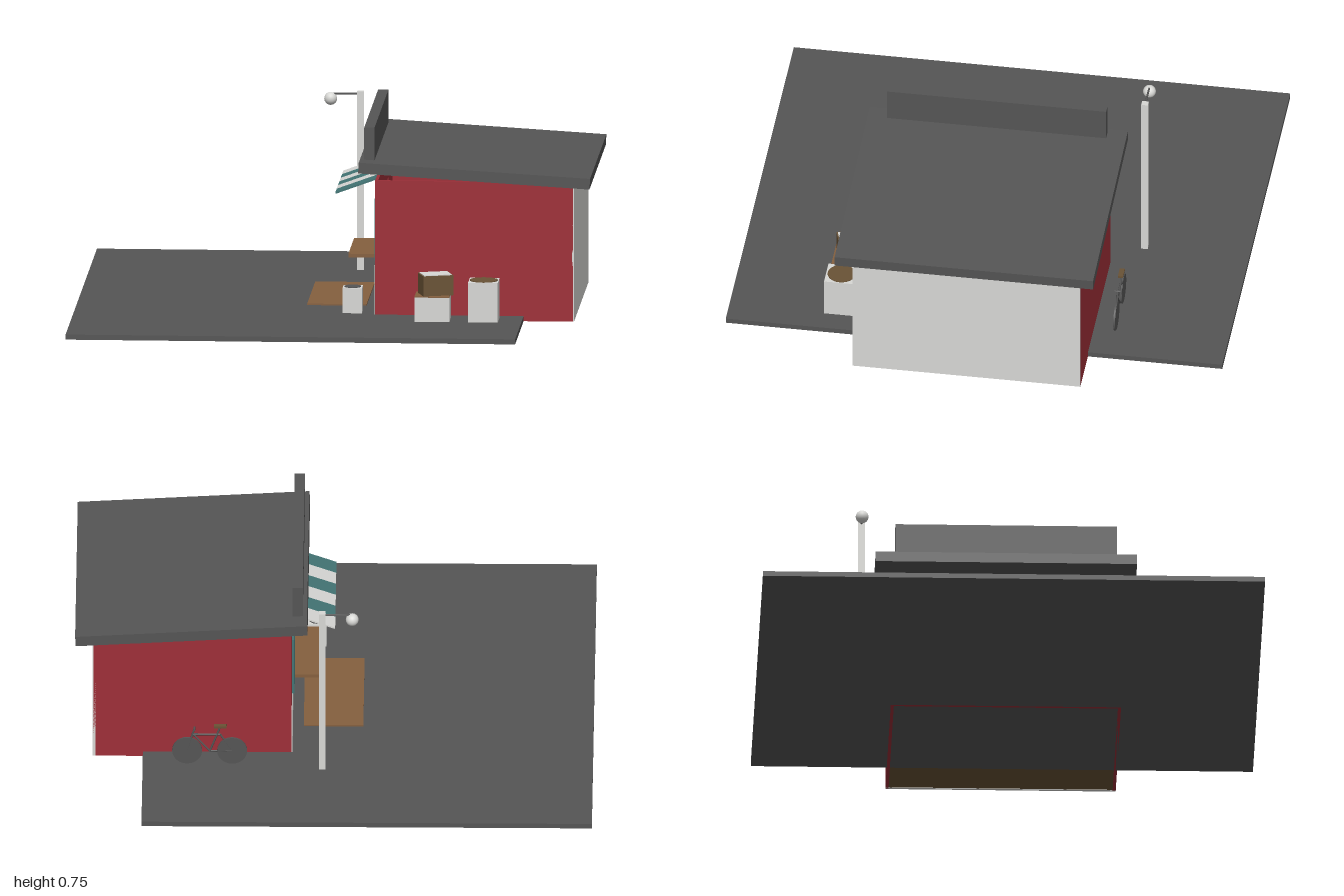
import * as THREE from 'three';

const mat = (name, color, side = THREE.FrontSide) => {
  const m = new THREE.MeshStandardMaterial({ color, side });
  m.name = name;
  return m;
};

export function createModel() {
  const white = mat('offWhite', 0xd8d8d5);
  const red = mat('barnRed', 0x9e2f38);
  const dark = mat('charcoal', 0x555555);
  const teal = mat('teal', 0x437575);
  const wood = mat('wood', 0x85603f);
  const darkWood = mat('darkWood', 0x6a5336);
  const model = new THREE.Group();
  model.name = 'marketKiosk';

  const add = (name, geometry, material, parent = model) => {
    const m = new THREE.Mesh(geometry, material);
    m.name = name;
    parent.add(m);
    return m;
  };
  // Box given by its min and max on each axis
  const box = (name, material, x0, x1, y0, y1, z0, z1, parent) => {
    const m = add(name, new THREE.BoxGeometry(x1 - x0, y1 - y0, z1 - z0), material, parent);
    m.position.set((x0 + x1) / 2, (y0 + y1) / 2, (z0 + z1) / 2);
    return m;
  };
  // Straight round bar between two points
  const bar = (name, material, a, b, r, parent) => {
    const p = new THREE.Vector3(...a), q = new THREE.Vector3(...b);
    const m = add(name, new THREE.CylinderGeometry(r, r, p.distanceTo(q), 8), material, parent);
    m.position.copy(p).lerp(q, 0.5);
    m.quaternion.setFromUnitVectors(new THREE.Vector3(0, 1, 0), q.sub(p).normalize());
    return m;
  };

  // Ground and door mat
  box('ground', dark, -1, 0.74, 0, 0.02, -0.97, 0.97);
  box('mat', wood, -0.11, 0.12, 0.02, 0.026, -0.25, 0.25);

  // Walls and floor
  const X0 = 0.165, X1 = 0.935, Z = 0.445, H = 0.545, T = 0.012;
  box('floor', darkWood, X0 + T, X1 - T, 0.002, 0.026, -Z + T, Z - T);
  for (const s of [-1, 1]) {
    const z = s * (Z - T / 2);
    box('sideWall', red, X0, X1 - 0.004, 0, H, z - T / 2, z + T / 2);
  }
  box('backWall', white, X1 - T, X1, 0, H, -Z, Z);

  // Serving wall with its window opening, shape drawn in (z, y)
  const facade = new THREE.Shape();
  facade.moveTo(-Z + T, 0).lineTo(Z - T, 0).lineTo(Z - T, H).lineTo(-Z + T, H).closePath();
  const hole = new THREE.Path();
  hole.moveTo(-0.18, 0.21).lineTo(-0.18, 0.45).lineTo(0.18, 0.45).lineTo(0.18, 0.21).closePath();
  facade.holes.push(hole);
  const wall = add('servingWall', new THREE.ExtrudeGeometry(facade, { depth: T, bevelEnabled: false }), red);
  wall.rotation.y = -Math.PI / 2;
  wall.position.x = X0 + T;
  box('lowerPanel', white, X0 - 0.003, X0, 0.02, 0.21, -Z, Z);

  // Counter, inner worktop and shutters
  box('counter', wood, 0.045, X0 + T, 0.197, 0.211, -0.18, 0.18);
  box('worktop', darkWood, X0 + T, 0.36, 0.18, 0.2, -0.4, 0.4);
  for (const s of [-1, 1]) {
    box('shutter', teal, 0.155, X0, 0.21, 0.45, s * 0.25 - 0.07, s * 0.25 + 0.07);
  }

  // Striped awning
  const awning = new THREE.Group();
  awning.name = 'awning';
  awning.position.set(0.0825, 0.49, 0);
  awning.rotation.z = Math.atan2(0.06, 0.165);
  model.add(awning);
  for (let i = 0; i < 6; i++) {
    const z = -0.246 + i * 0.082;
    box('awningStripe', i % 2 ? teal : white, -0.088, 0.088, -0.003, 0.003, z, z + 0.082, awning);
  }

  // Sloping roof and upright board
  const roof = add('roof', new THREE.BoxGeometry(0.897, 0.042, 1.01), dark);
  roof.position.set(0.552, 0.577, 0);
  roof.rotation.z = -0.06;
  box('roofBoard', dark, 0.122, 0.162, 0.605, 0.75, -0.428, 0.428);

  // Street lamp
  const lamp = new THREE.Group();
  lamp.name = 'lamp';
  model.add(lamp);
  box('lampPost', white, 0.033, 0.059, 0.02, 0.72, -0.575, -0.549, lamp);
  bar('lampArm', dark, [0.046, 0.71, -0.562], [-0.075, 0.71, -0.562], 0.004, lamp);
  add('lampGlobe', new THREE.SphereGeometry(0.025, 20, 14), white, lamp).position.set(-0.07, 0.69, -0.562);

  // Bicycle leaning by the wall
  const bike = new THREE.Group();
  bike.name = 'bicycle';
  bike.position.z = -0.53;
  model.add(bike);
  for (const x of [0.394, 0.568]) {
    const wheel = add('wheel', new THREE.CylinderGeometry(0.058, 0.058, 0.007, 24), dark, bike);
    wheel.rotation.x = Math.PI / 2;
    wheel.position.set(x, 0.078, 0);
  }
  const frame = [
    [[0.394, 0.078], [0.44, 0.15]], [[0.394, 0.078], [0.48, 0.075]],
    [[0.48, 0.075], [0.44, 0.185]], [[0.44, 0.15], [0.545, 0.15]],
    [[0.48, 0.075], [0.545, 0.15]], [[0.568, 0.078], [0.54, 0.175]],
  ];
  for (const [a, b] of frame) bar('frameTube', dark, [...a, 0], [...b, 0], 0.004, bike);
  bar('handlebar', dark, [0.54, 0.175, -0.012], [0.54, 0.175, 0.012], 0.004, bike);
  box('seat', darkWood, 0.415, 0.465, 0.183, 0.191, -0.01, 0.01, bike);

  // Bins with round lids
  const bin = (x, z, w, d, top, r, lid) => {
    box('bin', white, x - w / 2, x + w / 2, 0.02, top, z - d / 2, z + d / 2);
    add('binLid', new THREE.CylinderGeometry(r, r, 0.004, 24), lid).position.set(x, top + 0.001, z);
  };
  bin(0.075, 0.385, 0.075, 0.075, 0.118, 0.032, dark);
  bin(0.592, 0.54, 0.115, 0.12, 0.175, 0.054, darkWood);

  // Stacked crates, the upper one turned
  box('lowerCrate', white, 0.327, 0.462, 0.02, 0.115, 0.485, 0.6);
  box('lowerCrateTop', wood, 0.327, 0.462, 0.115, 0.119, 0.485, 0.6);
  const crate = new THREE.Group();
  crate.name = 'upperCrate';
  crate.position.set(0.405, 0.119, 0.535);
  crate.rotation.y = 0.3;
  model.add(crate);
  box('crateBody', darkWood, -0.06, 0.06, 0, 0.078, -0.045, 0.045, crate);
  box('crateTop', white, -0.055, 0.055, 0.078, 0.081, -0.04, 0.04, crate);

  return model;
}
